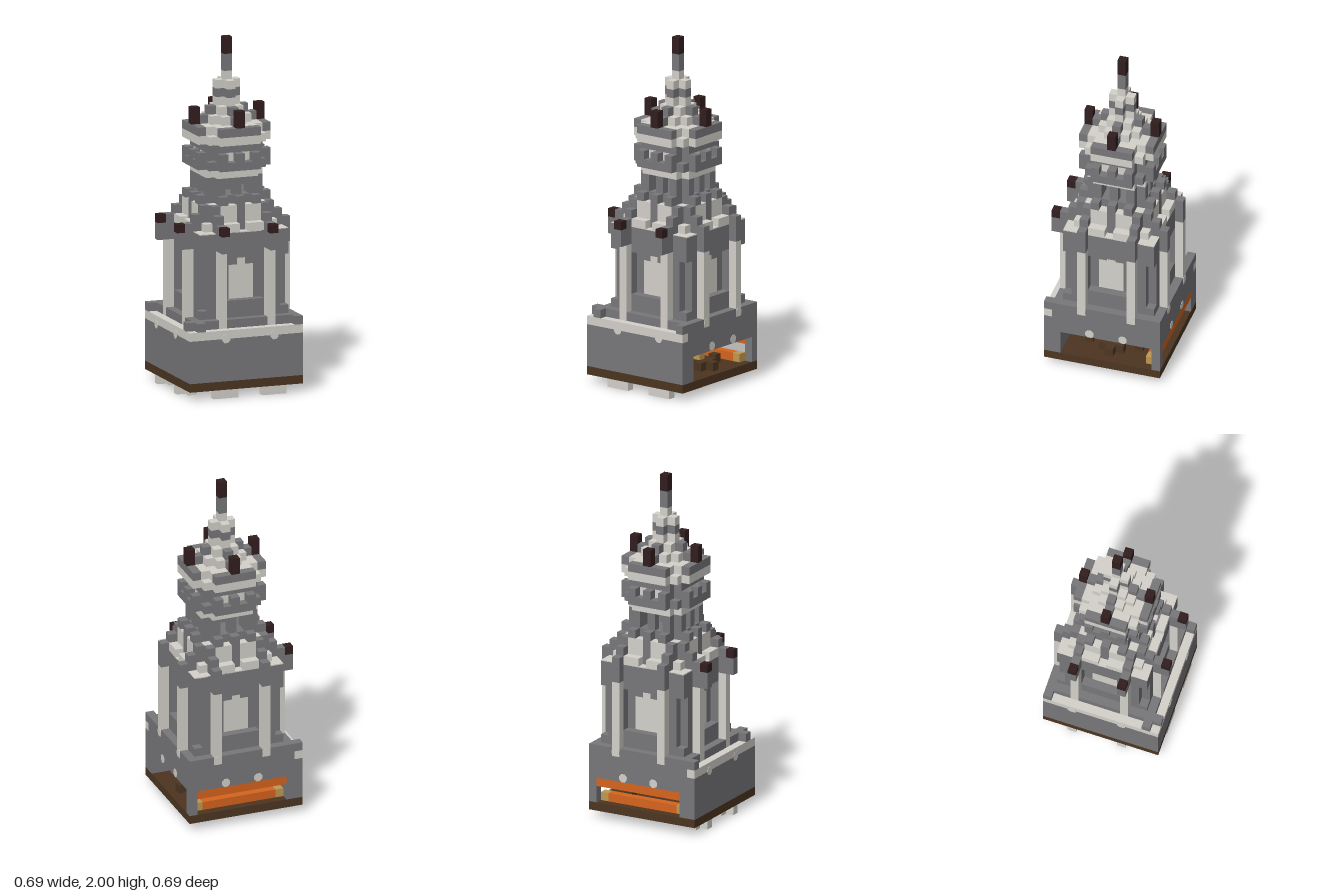
import * as THREE from 'three';
import { mergeGeometries } from 'three/addons/utils/BufferGeometryUtils.js';

const U = 2 / 41; // one block
const colours = {
  darkStone: 0x78777a, lightStone: 0xd4d1ca, finialRed: 0x321e1f,
  woodBrown: 0x4c3520, emberOrange: 0xd6641e, brassTan: 0xbe9852,
};

export function createModel() {
  const model = new THREE.Group();
  model.name = 'tower';
  const mats = {};
  for (const [name, color] of Object.entries(colours)) {
    mats[name] = new THREE.MeshStandardMaterial({ color });
    mats[name].name = name;
  }

  // Block grid: later fills overwrite earlier ones; x and z count from the tower axis
  const grid = new Map();
  const key = (x, y, z) => `${x},${y},${z}`;
  let part = '';
  const D = 'darkStone', L = 'lightStone', R = 'finialRed', B = 'woodBrown', O = 'emberOrange', T = 'brassTan';
  const fill = (m, x0, x1, y0, y1, z0, z1) => {
    for (let x = Math.min(x0, x1); x <= Math.max(x0, x1); x++)
      for (let y = y0; y <= y1; y++)
        for (let z = Math.min(z0, z1); z <= Math.max(z0, z1); z++) {
          if (m) grid.set(key(x, y, z), { x, y, z, m, part });
          else grid.delete(key(x, y, z));
        }
  };
  // Square storey with clipped corners: half width r, |x| + |z| <= s
  const storey = (m, y0, y1, r, s) => {
    for (let z = -r; z <= r; z++) {
      const w = Math.min(r, s - Math.abs(z));
      if (w >= 0) fill(m, -w, w, y0, y1, z, z);
    }
  };
  // The same blocks on all four sides: a runs along the side, r outwards
  const sides = (m, a0, a1, y0, y1, r0, r1 = r0) => {
    fill(m, a0, a1, y0, y1, r0, r1);
    fill(m, a0, a1, y0, y1, -r0, -r1);
    fill(m, r0, r1, y0, y1, a0, a1);
    fill(m, -r0, -r1, y0, y1, a0, a1);
  };
  const pairs = (m, a, y0, y1, r0, r1) => {
    for (const s of [-a, a]) sides(m, s, s, y0, y1, r0, r1);
  };

  part = 'feet';
  for (const a of [-3, 3]) {
    fill(L, a - 1, a + 1, 0, 0, 7, 7);
    fill(L, -7, -5, 0, 0, a, a);
    fill(L, -6, -6, 0, 0, a - 1, a + 1);
  }
  fill(D, -1, 1, 0, 0, 0, 0);
  fill(D, 0, 0, 0, 0, -1, 1);

  part = 'plank';
  fill(B, -7, 6, 1, 1, -6, 7);

  part = 'base';
  fill(D, -7, 6, 2, 6, -6, 7);
  fill(D, -6, 6, 7, 8, -6, 6);
  fill(null, -5, 5, 2, 6, -5, 5); // hollow room
  fill(null, 6, 6, 2, 4, -5, 5); // open to the left side
  fill(null, -5, 5, 2, 4, -6, -6); // and to the back
  for (const x of [-4, -1, 1, 4]) fill(D, x, x, 6, 6, -5, 5); // ceiling beams
  for (const a of [-6, 6]) {
    fill(D, a, a, 8, 8, 7, 7);
    fill(D, -7, -7, 8, 8, a, a);
  }

  part = 'trim';
  fill(L, -7, 6, 7, 7, 7, 7);
  fill(L, -7, -7, 7, 7, -6, 7);

  part = 'furnishing';
  fill(O, -5, 5, 4, 4, -6, -6);
  fill(O, -4, 4, 2, 2, -5, -5);
  for (const x of [-5, 5]) fill(T, x, x, 2, 2, -5, -5);
  fill(B, 3, 5, 2, 2, 0, 0);
  fill(B, 4, 4, 2, 2, -1, 1);
  fill(T, 3, 3, 3, 6, 0, 0);
  for (const z of [-3, 3]) fill(B, 3, 3, 2, 2, z, z);

  part = 'body';
  storey(D, 9, 9, 5, 10);
  storey(D, 10, 15, 5, 9);
  storey(D, 16, 18, 5, 10);
  sides(null, -2, 2, 11, 15, 5); // window recesses
  part = 'windows';
  sides(L, -1, 1, 11, 14, 4);
  sides(L, 0, 0, 15, 15, 4);

  part = 'pillars';
  pairs(L, 3, 8, 16, 6);
  pairs(D, 3, 17, 19, 6);

  part = 'gargoyles';
  for (const a of [-3, 3]) {
    fill(D, a, a, 17, 18, 7, 7);
    fill(R, a, a, 19, 19, 7, 7);
    fill(D, -7, -7, 17, 18, a, a);
    fill(R, -7, -7, 19, 19, a, a);
  }

  part = 'terracedRoof';
  storey(L, 19, 19, 5, 8);
  storey(L, 20, 20, 4, 7);
  storey(L, 21, 21, 4, 6);
  storey(D, 22, 22, 3, 5);
  sides(null, 0, 0, 19, 19, 5);
  // dark ribs climbing the roof
  pairs(D, 3, 19, 20, 5);
  pairs(D, 3, 20, 21, 4);
  sides(D, 0, 0, 19, 22, 4);
  pairs(D, 2, 22, 22, 4);

  part = 'lantern';
  pairs(D, 2, 23, 24, 2, 3);
  sides(D, 0, 0, 23, 24, 3);
  fill(D, 0, 0, 23, 24, 0, 0);
  storey(L, 25, 25, 3, 5);

  part = 'dome';
  storey(D, 26, 26, 4, 6);
  storey(D, 27, 28, 3, 5);
  pairs(L, 1, 27, 27, 3);
  sides(D, 0, 0, 27, 27, 4);
  pairs(D, 2, 27, 27, 4);
  storey(L, 29, 29, 4, 6);
  storey(L, 30, 30, 3, 5);
  sides(D, -2, 2, 30, 30, 4);
  storey(L, 31, 31, 2, 3);
  sides(D, 0, 0, 30, 31, 3);
  sides(D, 0, 0, 31, 31, 2);
  storey(L, 32, 32, 1, 2);
  sides(D, 0, 0, 32, 32, 2);

  part = 'finials';
  sides(R, 0, 0, 31, 32, 4);

  part = 'spire';
  storey(L, 33, 35, 1, 1);
  storey(D, 34, 34, 1, 1);
  fill(L, 0, 0, 36, 36, 0, 0);
  fill(D, 0, 0, 37, 38, 0, 0);
  fill(R, 0, 0, 39, 40, 0, 0);

  // Keep only the open faces of the blocks and merge them by part and colour
  const faces = [[1, 0, 0], [-1, 0, 0], [0, 1, 0], [0, -1, 0], [0, 0, 1], [0, 0, -1]].map((d) => {
    const n = new THREE.Vector3(...d);
    const q = new THREE.Quaternion().setFromUnitVectors(new THREE.Vector3(0, 0, 1), n);
    const g = new THREE.PlaneGeometry(U, U).applyQuaternion(q);
    return { d, g: g.translate(n.x * U / 2, n.y * U / 2, n.z * U / 2) };
  });
  const centre = (x, y, z) => [(x + 0.5) * U, (y + 0.5) * U, (z - 0.5) * U];
  const bins = {};
  for (const c of grid.values()) {
    for (const { d, g } of faces) {
      if (grid.has(key(c.x + d[0], c.y + d[1], c.z + d[2]))) continue;
      const bin = ((bins[c.part] ??= {})[c.m] ??= []);
      bin.push(g.clone().translate(...centre(c.x, c.y, c.z)));
    }
  }
  for (const [name, byColour] of Object.entries(bins)) {
    const group = new THREE.Group();
    group.name = name;
    for (const [m, list] of Object.entries(byColour)) {
      const mesh = new THREE.Mesh(mergeGeometries(list), mats[m]);
      mesh.name = `${name} ${m}`;
      group.add(mesh);
    }
    model.add(group);
  }

  // Pale paving on the cornice
  const paving = new THREE.Mesh(new THREE.BoxGeometry(11 * U, 0.006, 11 * U), mats[L]);
  paving.name = 'cornicePaving';
  paving.position.set(...centre(0, 18.5, 0));
  model.add(paving);

  // Eight-sided studs: drips below the trim and pillars, spots over the openings and under the plank
  const stud = new THREE.CylinderGeometry(U * 0.54, U * 0.54, 0.004, 8).rotateY(Math.PI / 8);
  const addStud = (m, x, y, z, rx, rz, size = 1) => {
    const mesh = new THREE.Mesh(stud, mats[m]);
    mesh.name = 'stud';
    mesh.position.set(...centre(x, y, z));
    mesh.rotation.set(rx, 0, rz);
    mesh.scale.set(size, 1, size);
    model.add(mesh);
  };
  const Q = Math.PI / 2;
  for (const a of [-3, 3]) {
    addStud(L, a, 6.5, 7.5, Q, 0);
    addStud(L, -7.5, 6.5, a, 0, Q);
    addStud(L, 6.5, 8, a, 0, Q);
    addStud(L, a, 8, -6.5, Q, 0);
    const b = a * 2 / 3;
    addStud(L, 6.5, 5, b, 0, Q);
    addStud(L, b, 5, -6.5, Q, 0);
  }
  for (const [x, z] of [[4, 1], [2, 5], [-3, 0], [-2, -5]]) addStud(T, x, 0.5, z, 0, 0, 0.75);
  return model;
}
